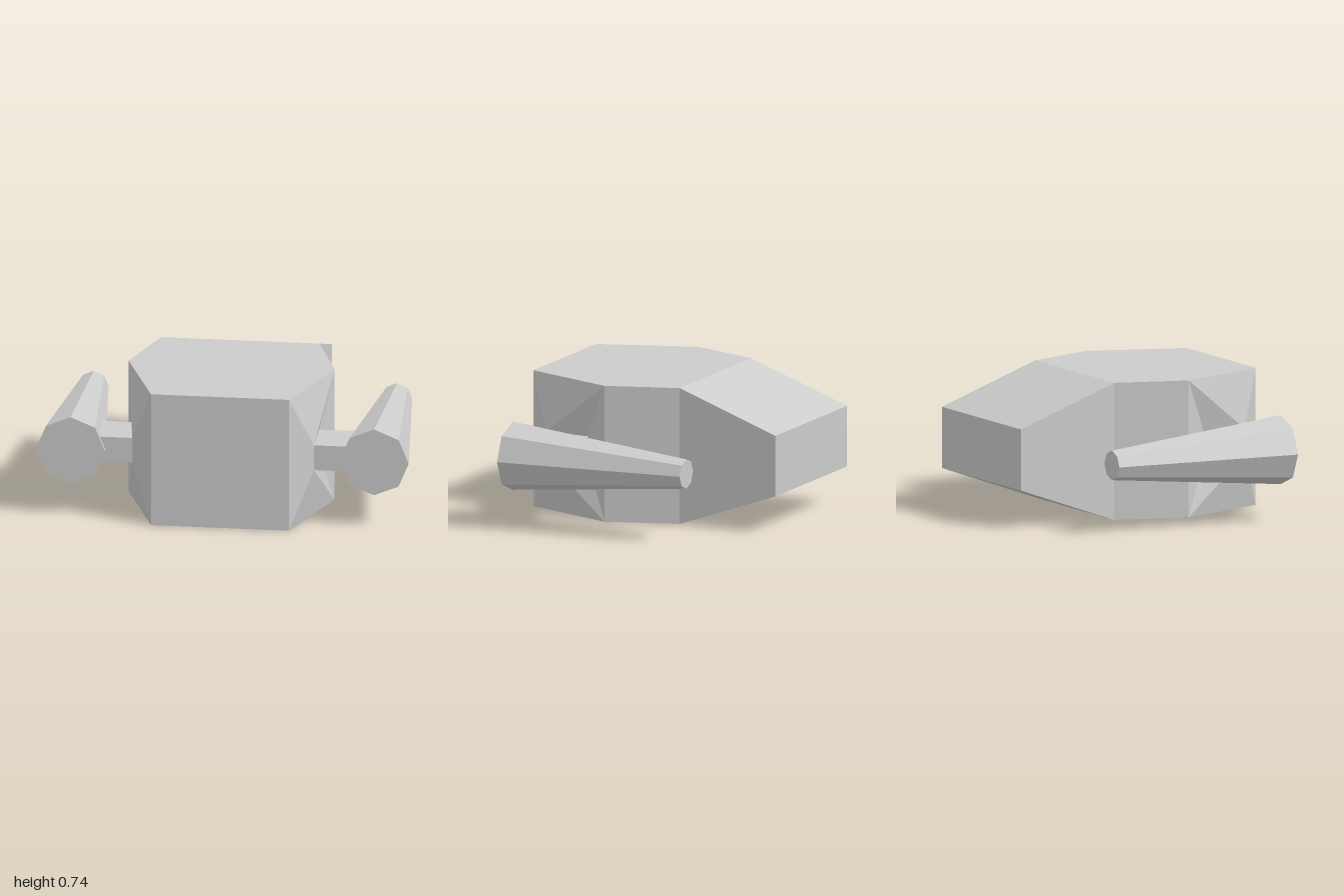
import * as THREE from 'three';

const hull = new THREE.MeshStandardMaterial({ color: 0xcccccc, flatShading: true });
hull.name = 'hullGrey';

// Flat-faced geometry from polygons (corners counter-clockwise from outside)
function fromPolygons(polygons) {
  const positions = [];
  for (const p of polygons) {
    for (let i = 1; i < p.length - 1; i++) positions.push(...p[0], ...p[i], ...p[i + 1]);
  }
  const geometry = new THREE.BufferGeometry();
  geometry.setAttribute('position', new THREE.Float32BufferAttribute(positions, 3));
  geometry.computeVertexNormals();
  return geometry;
}

function createBody() {
  // Cross-sections: z, half width, bottom, top
  const sections = [
    [-0.735, 0.425, 0.205, 0.535],
    [-0.165, 0.425, 0, 0.74],
    [0.22, 0.553, 0, 0.74],
    [0.735, 0.37, 0, 0.74],
  ];
  const ring = ([z, w, lo, hi]) => [[w, lo, z], [w, hi, z], [-w, hi, z], [-w, lo, z]];
  const rings = sections.map(ring);
  const polygons = [[...rings[0]].reverse(), rings[3]];
  for (let s = 0; s < 3; s++) {
    for (let k = 0; k < 4; k++) {
      const n = (k + 1) % 4;
      const isFrontSide = s === 2 && k % 2 === 0;
      if (!isFrontSide) polygons.push([rings[s][k], rings[s][n], rings[s + 1][n], rings[s + 1][k]]);
    }
  }

  // Front side panels fold in to a small mounting pad on each side
  for (const side of [1, -1]) {
    const at = (x, y, z) => [side * x, y, z];
    const outer = [at(0.553, 0, 0.22), at(0.553, 0.74, 0.22), at(0.37, 0.74, 0.735), at(0.37, 0, 0.735)];
    const pad = [at(0.487, 0.3, 0.35), at(0.487, 0.44, 0.35), at(0.487, 0.44, 0.6), at(0.487, 0.3, 0.6)];
    const panels = [
      pad,
      [outer[0], outer[1], pad[1], pad[0]],
      [outer[1], outer[2], pad[2]], [outer[1], pad[2], pad[1]],
      [outer[2], outer[3], pad[3], pad[2]],
      [outer[3], outer[0], pad[3]], [outer[0], pad[0], pad[3]],
    ];
    for (const p of panels) polygons.push(side > 0 ? p : [...p].reverse());
  }
  return fromPolygons(polygons);
}

export function createModel() {
  const model = new THREE.Group();
  model.name = 'podCraft';
  const add = (name, geometry, x, y, z) => {
    const mesh = new THREE.Mesh(geometry, hull);
    mesh.name = name;
    mesh.position.set(x, y, z);
    model.add(mesh);
  };

  add('body', createBody(), 0, 0, 0);

  // Tapered octagonal pods, wide end forward, on short struts
  const pod = new THREE.CylinderGeometry(0.186, 0.08, 1.035, 8);
  pod.rotateX(Math.PI / 2);
  const strut = new THREE.BoxGeometry(0.24, 0.14, 0.25);
  for (const [label, side] of [['left', 1], ['right', -1]]) {
    add(label + 'Strut', strut, side * 0.607, 0.37, 0.475);
    add(label + 'Pod', pod, side * 0.814, 0.37, 0.1175);
  }
  return model;
}
